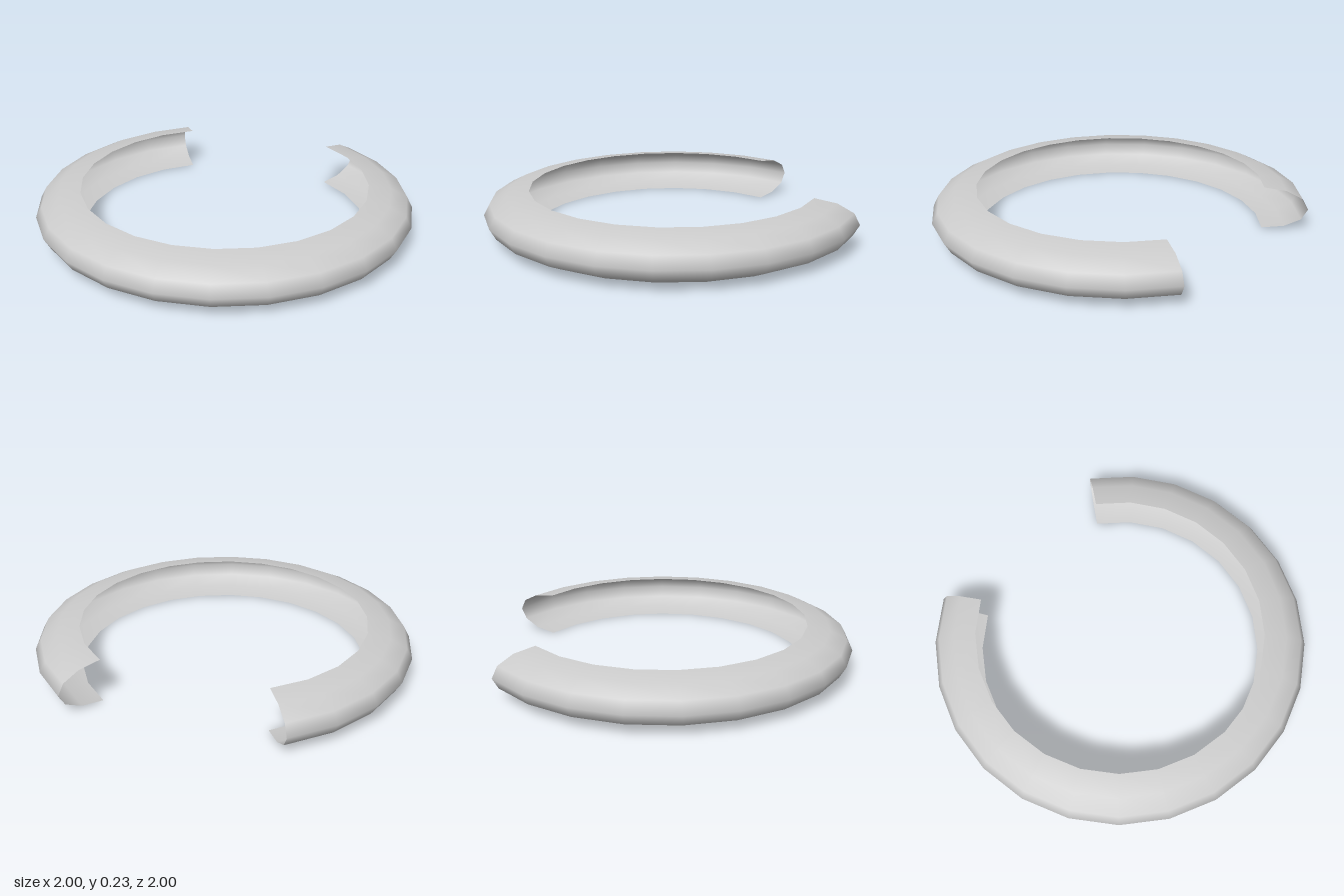
import * as THREE from 'three';

const RING_RADIUS = 0.765; // radius of the open inner edges
const DEPTH = 0.235;       // how far the shell bulges outward
const HALF_HEIGHT = 0.115;

export function createModel() {
  const model = new THREE.Group();
  model.name = 'openRing';

  const grey = new THREE.MeshStandardMaterial({ color: 0xcccccc, side: THREE.DoubleSide });
  grey.name = 'light grey';

  // Half-ellipse section, open towards the middle of the ring
  const profile = [];
  for (let i = 0; i <= 6; i++) {
    const t = -Math.PI / 2 + (i / 6) * Math.PI;
    profile.push(new THREE.Vector2(
      RING_RADIUS + DEPTH * Math.cos(t),
      HALF_HEIGHT + HALF_HEIGHT * Math.sin(t)
    ));
  }

  // Swept most of the way round, leaving a gap at the back left
  const start = THREE.MathUtils.degToRad(-207.5);
  const sweep = THREE.MathUtils.degToRad(293);
  const shell = new THREE.Mesh(new THREE.LatheGeometry(profile, 20, start, sweep), grey);
  shell.name = 'ringShell';
  model.add(shell);

  return model;
}
